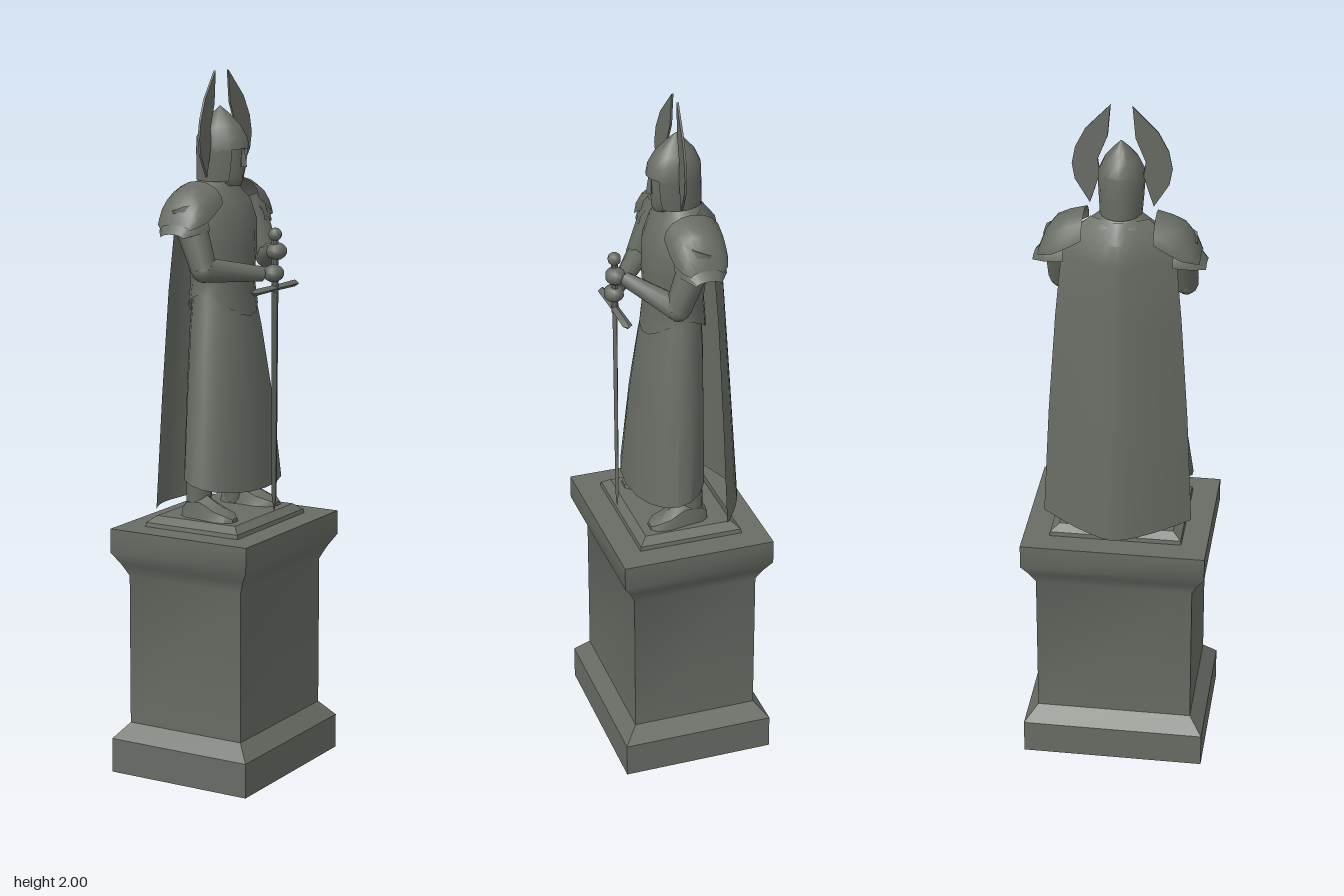
import * as THREE from 'three';
import { toCreasedNormals } from 'three/addons/utils/BufferGeometryUtils.js';

const stone = new THREE.MeshStandardMaterial({ color: 0x686c64, side: THREE.DoubleSide });
stone.name = 'weathered stone';

// Skin a list of cross-sections (arrays of [x, y, z]), optionally closed round and capped
function loft(rows, { closed = true, capBottom = false, capTop = false } = {}) {
  const n = rows[0].length, pos = rows.flat(2), idx = [];
  for (let i = 0; i < rows.length - 1; i++) {
    for (let j = 0; j < (closed ? n : n - 1); j++) {
      const k = (j + 1) % n, a = i * n + j, b = i * n + k, c = a + n, d = b + n;
      idx.push(a, c, b, b, c, d);
    }
  }
  const last = (rows.length - 1) * n;
  for (let j = 1; j < n - 1; j++) {
    if (capBottom) idx.push(0, j, j + 1);
    if (capTop) idx.push(last, last + j + 1, last + j);
  }
  const g = new THREE.BufferGeometry();
  g.setAttribute('position', new THREE.Float32BufferAttribute(pos, 3));
  g.setIndex(idx);
  return toCreasedNormals(g, 0.6);
}

// Elliptical section about the y axis; dy bends the rim by angle
function ring(y, cx, rx, rz, n = 14, dy = () => 0, from = 0, to = Math.PI * 2) {
  const full = to - from > 6.28, pts = [];
  for (let j = 0; j < n; j++) {
    const a = from + (to - from) * j / (full ? n : n - 1);
    pts.push([cx + rx * Math.cos(a), y + dy(a), rz * Math.sin(a)]);
  }
  return pts;
}

const rect = (y, x, z) => [[x, y, -z], [x, y, z], [-x, y, z], [-x, y, -z]];

export function createModel() {
  const model = new THREE.Group();
  model.name = 'statue';
  const add = (name, geo) => {
    const m = new THREE.Mesh(geo, stone);
    m.name = name;
    model.add(m);
    return m;
  };
  // Tapered limb between two points
  const limb = (name, a, b, ra, rb, sides = 8) => {
    const p = new THREE.Vector3(...a), q = new THREE.Vector3(...b), d = q.clone().sub(p);
    const m = add(name, toCreasedNormals(new THREE.CylinderGeometry(rb, ra, d.length(), sides), 0.9));
    m.position.copy(p).add(q).multiplyScalar(0.5);
    m.quaternion.setFromUnitVectors(new THREE.Vector3(0, 1, 0), d.normalize());
    return m;
  };
  const blob = (name, p, s) => {
    const m = add(name, new THREE.SphereGeometry(1, 10, 7));
    m.position.set(...p);
    m.scale.set(...s);
    return m;
  };

  // Pedestal, open underneath
  add('pedestal', loft([rect(0, 0.222, 0.264), rect(0.1, 0.222, 0.264), rect(0.145, 0.183, 0.226),
    rect(0.58, 0.183, 0.226), rect(0.615, 0.2, 0.243), rect(0.65, 0.222, 0.264),
    rect(0.72, 0.222, 0.264)], { capTop: true }));
  add('plinth', loft([rect(0.72, 0.152, 0.19), rect(0.732, 0.15, 0.188), rect(0.75, 0.128, 0.164)], { capTop: true }));

  // Robe skirt with a hem dipping to the front
  add('skirt', loft([
    ring(0.855, 0.025, 0.108, 0.205, 18, a => -0.025 * Math.cos(a)),
    ring(1.1, 0.012, 0.097, 0.17, 18),
    ring(1.28, 0, 0.086, 0.137, 18),
    ring(1.42, -0.01, 0.07, 0.108, 18)], { capBottom: true }));

  // Cuirass with an arched lower edge
  add('cuirass', loft([
    ring(1.385, -0.008, 0.09, 0.118, 18, a => -0.067 * Math.cos(a) ** 2),
    ring(1.42, -0.01, 0.081, 0.111, 18),
    ring(1.5, -0.012, 0.088, 0.122, 18),
    ring(1.58, -0.02, 0.092, 0.138, 18),
    ring(1.64, -0.03, 0.08, 0.13, 18),
    ring(1.675, -0.035, 0.062, 0.085, 18),
    ring(1.7, -0.03, 0.045, 0.05, 18)], { capTop: true }));

  // Cape, folded to a ridge down the back
  const capeRow = ([y, front, back, w, lift]) => Array.from({ length: 13 }, (_, j) => {
    const s = 1 - j / 6, b = 1 - Math.abs(s) ** 1.4;
    return [front + (back - front) * b, y + lift * (1 - b), w * s];
  });
  add('cape', loft([
    [0.75, -0.1, -0.203, 0.212, 0.025], [1.1, -0.09, -0.178, 0.196, 0],
    [1.4, -0.08, -0.156, 0.175, 0], [1.58, -0.07, -0.142, 0.158, 0],
    [1.64, -0.06, -0.13, 0.135, 0], [1.69, -0.05, -0.09, 0.08, 0]].map(capeRow), { closed: false }));

  // Neck, face and nose
  limb('neck', [-0.025, 1.65, 0], [-0.012, 1.75, 0], 0.045, 0.042, 10);
  add('face', loft([ring(1.682, 0.022, 0.024, 0.02, 12), ring(1.7, 0.01, 0.044, 0.036, 12),
    ring(1.74, 0, 0.055, 0.047, 12), ring(1.8, 0, 0.055, 0.052, 12)], { capBottom: true }));
  limb('nose', [0.057, 1.735, 0], [0.056, 1.785, 0], 0.012, 0.005, 4);

  // Helmet: pointed dome and cheek guard left open at the face
  add('helmetDome', loft([
    ring(1.775, -0.01, 0.078, 0.064, 14, a => 0.012 * Math.cos(a)),
    ring(1.815, -0.012, 0.074, 0.063, 14), ring(1.85, -0.014, 0.056, 0.047, 14),
    ring(1.88, -0.016, 0.027, 0.022, 14), ring(1.902, -0.018, 0.001, 0.001, 14)]));
  const open = [0.75, Math.PI * 2 - 0.75];
  add('helmetGuard', loft([
    ring(1.695, -0.018, 0.07, 0.058, 14, () => 0, ...open),
    ring(1.735, -0.013, 0.075, 0.061, 14, () => 0, ...open),
    ring(1.785, -0.01, 0.076, 0.064, 14, () => 0, ...open)], { closed: false }));

  // Wing plate outline in (z, y)
  const wing = new THREE.Shape([[0.03, 2], [0.1, 1.925], [0.128, 1.87], [0.138, 1.82], [0.13, 1.775],
    [0.088, 1.71], [0.075, 1.75], [0.06, 1.8], [0.066, 1.84], [0.038, 1.91]]
    .map(p => new THREE.Vector2(...p)));
  const wingGeo = new THREE.ExtrudeGeometry(wing, { depth: 0.006, bevelEnabled: false });

  for (const s of [1, -1]) {
    const side = s > 0 ? 'left' : 'right';
    const w = add(side + 'Wing', wingGeo);
    w.rotation.y = -s * Math.PI / 2 + 0.12;
    w.position.x = -0.018;
    if (s < 0) w.rotation.y = Math.PI / 2 - 0.12;

    // Layered pauldron: arches marching outward along z
    const arch = ([z, top, drop, rx]) => Array.from({ length: 9 }, (_, j) => {
      const t = Math.PI * j / 8;
      return [-0.03 + s * rx * Math.cos(t), top - drop * (1 - Math.sin(t)), s * z];
    });
    add(side + 'Pauldron', loft([[0.098, 1.7, 0.06, 0.08], [0.14, 1.69, 0.075, 0.08], [0.175, 1.675, 0.08, 0.076],
      [0.205, 1.635, 0.05, 0.065], [0.222, 1.59, 0.015, 0.045]].map(arch), { closed: false }));
    add(side + 'PauldronLower', loft([[0.15, 1.63, 0.06, 0.07], [0.2, 1.615, 0.05, 0.064],
      [0.238, 1.565, 0.01, 0.035]].map(arch), { closed: false }));

    // Arm reaching in to the sword grip
    const handY = s > 0 ? 1.445 : 1.505, elbow = [0.035, 1.465, s * 0.175];
    limb(side + 'UpperArm', [-0.03, 1.63, s * 0.165], elbow, 0.048, 0.036);
    blob(side + 'Elbow', elbow, [0.036, 0.036, 0.034]);
    limb(side + 'Forearm', elbow, [0.14, handY, s * 0.035], 0.035, 0.021);
    blob(side + 'Hand', [0.16, handY, s * 0.008], [0.029, 0.025, 0.032]);

    // Ankle and foot
    limb(side + 'Ankle', [-0.03, 0.755, s * 0.105], [-0.02, 0.9, s * 0.1], 0.034, 0.042);
    const foot = ([x, h, r]) => [[-1, 0], [-0.8, 0.7], [0, 1], [0.8, 0.7], [1, 0]]
      .map(([u, v]) => [x, 0.75 + h * v, s * (0.108 + (x + 0.06) * 0.08) + r * u]);
    add(side + 'Foot', loft([[-0.07, 0.03, 0.02], [-0.05, 0.06, 0.033], [0, 0.068, 0.035],
      [0.05, 0.04, 0.042], [0.085, 0.026, 0.035], [0.103, 0.012, 0.016]].map(foot),
    { capBottom: true, capTop: true }));
  }

  // Sword standing point down
  const blade = (y, w, t) => [[0.16 + t, y, 0], [0.16, y, w], [0.16 - t, y, 0], [0.16, y, -w]];
  add('blade', loft([blade(0.765, 0.001, 0.001), blade(0.81, 0.014, 0.005), blade(1.4, 0.019, 0.007)]));
  limb('grip', [0.16, 1.39, 0], [0.16, 1.55, 0], 0.01, 0.01);
  blob('pommel', [0.16, 1.553, 0], [0.019, 0.019, 0.019]);
  const bar = (z, r) => [[0.16 + r, 1.403, z], [0.16, 1.403 + r * 0.7, z], [0.16 - r, 1.403, z], [0.16, 1.403 - r * 0.7, z]];
  add('crossguard', loft([bar(-0.125, 0.002), bar(-0.113, 0.014), bar(0, 0.012), bar(0.113, 0.014), bar(0.125, 0.002)]));

  return model;
}
